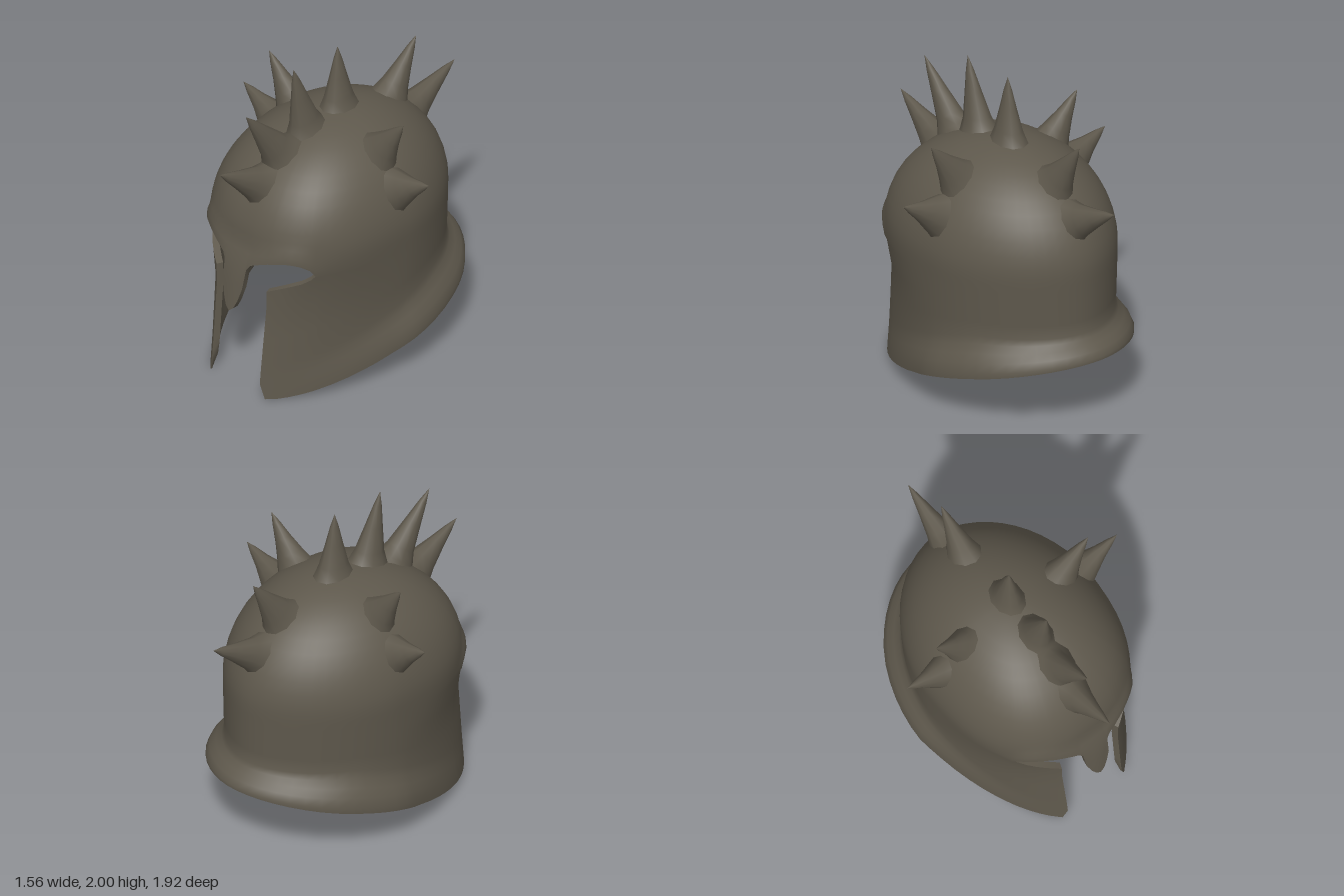
import * as THREE from 'three';
import { mergeVertices, toCreasedNormals } from 'three/addons/utils/BufferGeometryUtils.js';

const { lerp, smoothstep } = THREE.MathUtils;
const WALL = 0.042, FRONT_POWER = 2.4, CHEEK_POWER = 1.8, BACK_POWER = 1.85, GAP = 0.215, CORNER = 0.44;

// piecewise linear lookup in a short list of [x, y] pairs
function lookup(table, x) {
  if (x <= table[0][0]) return table[0][1];
  for (let i = 1; i < table.length; i++) {
    const [x0, y0] = table[i - 1], [x1, y1] = table[i];
    if (x <= x1) return lerp(y0, y1, (x - x0) / (x1 - x0));
  }
  return table[table.length - 1][1];
}

// outlines of the face opening by distance from the middle, and the slanted rim by depth
const BROW = [[0, 0.55], [0.03, 0.575], [0.055, 0.63], [0.08, 0.72], [0.088, 0.85], [0.11, 0.885],
  [0.2, 0.925], [0.3, 0.95], [0.37, 0.95], [0.42, 0.91], [CORNER, 0.86]];
const CHEEK = [[GAP, 0.73], [0.25, 0.745], [0.32, 0.775], [0.38, 0.8], [0.42, 0.83], [CORNER, 0.86]];
const RIM = [[-0.85, 0.465], [-0.4, 0.35], [0, 0.24], [0.2, 0.2], [0.45, 0.12], [0.7, 0.03], [0.79, 0]];
const FRONT = [[0, 0.92], [0.7, 0.848], [0.98, 0.785]];
const SIDE = [[0.2, 0.56], [0.55, 0.575], [0.98, 0.6]];

// one angle around the helmet, 0 at the front
function makeColumn(angle) {
  const front = Math.cos(angle) > 0;
  const power = front ? FRONT_POWER : BACK_POWER;
  const rounded = (v) => Math.sign(v) * Math.abs(v) ** (2 / power);
  const sx = rounded(Math.sin(angle)), cz = rounded(Math.cos(angle));
  const x = Math.abs(sx) * 0.6;
  // the cheek corner is cut off slightly at the tip
  const tip = front ? lookup([[GAP, 0.1], [0.245, 0]], x) : 0;
  return {
    sx, cz, x, front,
    rim: lookup(RIM, cz * 0.85) + tip,
    open: front && x < CORNER - 0.003,
    brow: front ? lookup(BROW, x) : 0.86,
    cheek: front ? lookup(CHEEK, x) : 0.86,
    band: lookup([[-1, 0.14], [-0.4, 0.25], [0.4, 0.26], [1, 0.24]], cz),
    flare: lookup([[-1, 0.115], [-0.6, 0.115], [0, 0.08], [0.4, 0.045], [0.75, 0.015], [0.92, 0]], cz),
  };
}

// point on the shell; inset moves it inwards to the lining
function shellPoint(c, y, inset, upper) {
  const k = y > 0.98 ? Math.sqrt(Math.max(0, 1 - ((y - 0.98) / 0.62) ** 2)) : 1;
  // the rim flares out; the lining flares less but curls out to a thin lip
  const curl = upper ? 1 : smoothstep(y - c.rim, 0, 0.09);
  let out = c.flare * (1 - smoothstep((y - c.rim) / c.band, 0.15, 1)) * (inset > 0 ? lerp(1, 0.6, curl) : 1);
  if (upper && c.front) {
    // raised brow edge and nose guard
    const edge = Math.max(c.brow, 0.87);
    out += 0.022 * (1 - smoothstep(y - edge, 0.02, 0.13)) * (1 - smoothstep(c.x, 0.36, 0.5));
  }
  const a = lookup(SIDE, y), b = c.front ? lookup(FRONT, y) : 0.735;
  // the plan is full at the brow and flatter along the cheeks
  const p = lerp(CHEEK_POWER, FRONT_POWER, smoothstep(y, 0.6, 1));
  const cz = c.front ? Math.max(0, 1 - Math.abs(c.sx) ** p) ** (1 / p) : c.cz;
  const shrink = inset * k * lerp(0.25, 1, curl);
  const drop = y > 0.98 ? inset * (y - 0.98) / 0.62 : 0;
  return [c.sx * (a * k + out - shrink), y - drop, cz * (b * k + out - shrink)];
}

function buildShell() {
  // columns: closely spaced across the face, even round the back
  const angleAt = (x) => Math.asin((x / 0.6) ** (FRONT_POWER / 2));
  const half = [0, 0.03, 0.055, 0.08, 0.088, 0.11, 0.16, GAP, 0.245, 0.3, 0.34, 0.38, 0.42, CORNER].map(angleAt);
  const start = half[half.length - 1];
  for (let i = 1; i <= 20; i++) half.push(lerp(start, Math.PI, i / 20));
  const angles = [...half, ...half.slice(1, -1).reverse().map((t) => 2 * Math.PI - t), 2 * Math.PI];
  const columns = angles.map(makeColumn);
  const pos = [];
  const quad = (a, b, c, d) => pos.push(...a, ...b, ...c, ...a, ...c, ...d);

  function sheet(cols, heights, upper) {
    const outer = cols.map((c) => heights(c).map((y) => shellPoint(c, y, 0, upper)));
    const inner = cols.map((c) => heights(c).map((y) => shellPoint(c, y, WALL, upper)));
    const top = outer[0].length - 1;
    for (let i = 0; i < cols.length - 1; i++) {
      for (let j = 0; j < top; j++) {
        quad(outer[i][j], outer[i + 1][j], outer[i + 1][j + 1], outer[i][j + 1]);
        quad(inner[i + 1][j], inner[i][j], inner[i][j + 1], inner[i + 1][j + 1]);
      }
      // edges of the opening and the rim
      const open = cols[i].open || cols[i + 1].open;
      if (!upper || open) quad(inner[i][0], inner[i + 1][0], outer[i + 1][0], outer[i][0]);
      if (!upper && open) quad(outer[i][top], outer[i + 1][top], inner[i + 1][top], inner[i][top]);
    }
    if (!upper) {
      const e = cols.length - 1;
      for (let j = 0; j < top; j++) {
        quad(inner[0][j], outer[0][j], outer[0][j + 1], inner[0][j + 1]);
        quad(outer[e][j], inner[e][j], inner[e][j + 1], outer[e][j + 1]);
      }
    }
  }

  // dome with brow and nose guard
  const domeRows = [];
  for (let i = 1; i <= 10; i++) domeRows.push(0.98 + 0.62 * Math.sin(lerp(0.25, Math.PI / 2, i / 10)));
  sheet(columns, (c) => {
    const ridge = Math.max(c.brow, 0.89) + 0.01;
    return [c.brow, lerp(c.brow, ridge, 0.5),
      ...[0, 0.2, 0.45, 0.7, 1].map((t) => lerp(ridge, 1.13, t)), ...domeRows];
  }, true);
  // cheeks and neck guard with the flared band
  const lower = columns.filter((c) => !c.front || c.x > GAP - 0.002);
  sheet(lower, (c) => {
    const edge = c.rim + c.band;
    return [...[0, 0.15, 0.4, 0.6, 0.8, 1].map((t) => c.rim + c.band * t),
      ...[0.33, 0.67, 1].map((t) => lerp(edge, c.cheek, t))];
  }, false);

  const geo = new THREE.BufferGeometry();
  geo.setAttribute('position', new THREE.Float32BufferAttribute(pos, 3));
  return toCreasedNormals(mergeVertices(geo, 1e-4), 0.9);
}

export function createModel() {
  const model = new THREE.Group();
  model.name = 'spikedHelmet';
  const metal = new THREE.MeshStandardMaterial({ color: 0x5e584c });
  metal.name = 'dark bronze';

  const shell = new THREE.Mesh(buildShell(), metal);
  shell.name = 'helmetShell';
  shell.position.x = -0.015;
  model.add(shell);

  // spikes with a spread foot that sinks into the dome, flattened across their row
  const profile = (len) => [[0.18, -0.07], [0.13, 0], [0.098, 0.07], [0.06, len * 0.5], [0.028, len * 0.8], [0, len]];
  function addSpike(name, base, tip, across) {
    const from = new THREE.Vector3(...base), dir = new THREE.Vector3(...tip).sub(from);
    const points = profile(dir.length()).map(([r, y]) => new THREE.Vector2(r, y));
    const spike = new THREE.Mesh(new THREE.LatheGeometry(points, 10), metal);
    dir.normalize();
    const along = new THREE.Vector3().crossVectors(across, dir);
    spike.name = name;
    spike.position.copy(from);
    spike.quaternion.setFromRotationMatrix(new THREE.Matrix4().makeBasis(across, dir, along));
    spike.scale.x = 0.76;
    model.add(spike);
  }

  // crest row, front to back: base y, z and tip y, z
  const xAxis = new THREE.Vector3(1, 0, 0), zAxis = new THREE.Vector3(0, 0, 1);
  [[1.33, 0.64, 1.535, 0.965], [1.48, 0.48, 1.845, 0.75], [1.56, 0.26, 2, 0.36],
    [1.59, -0.01, 2, 0], [1.47, -0.43, 1.785, -0.645], [1.29, -0.61, 1.47, -0.96],
  ].forEach(([y, z, ty, tz], i) => addSpike(`crestSpike${i + 1}`, [-0.01, y, z], [-0.01, ty, tz], xAxis));

  // side pairs, square to their own direction
  for (const [side, s] of [['left', 1], ['right', -1]]) {
    addSpike(`${side}UpperSpike`, [s * 0.36, 1.45, 0.02], [s * 0.565, 1.72, 0.02], zAxis);
    addSpike(`${side}LowerSpike`, [s * 0.515, 1.26, 0.02], [s * 0.78, 1.4, 0.02], zAxis);
  }
  return model;
}
